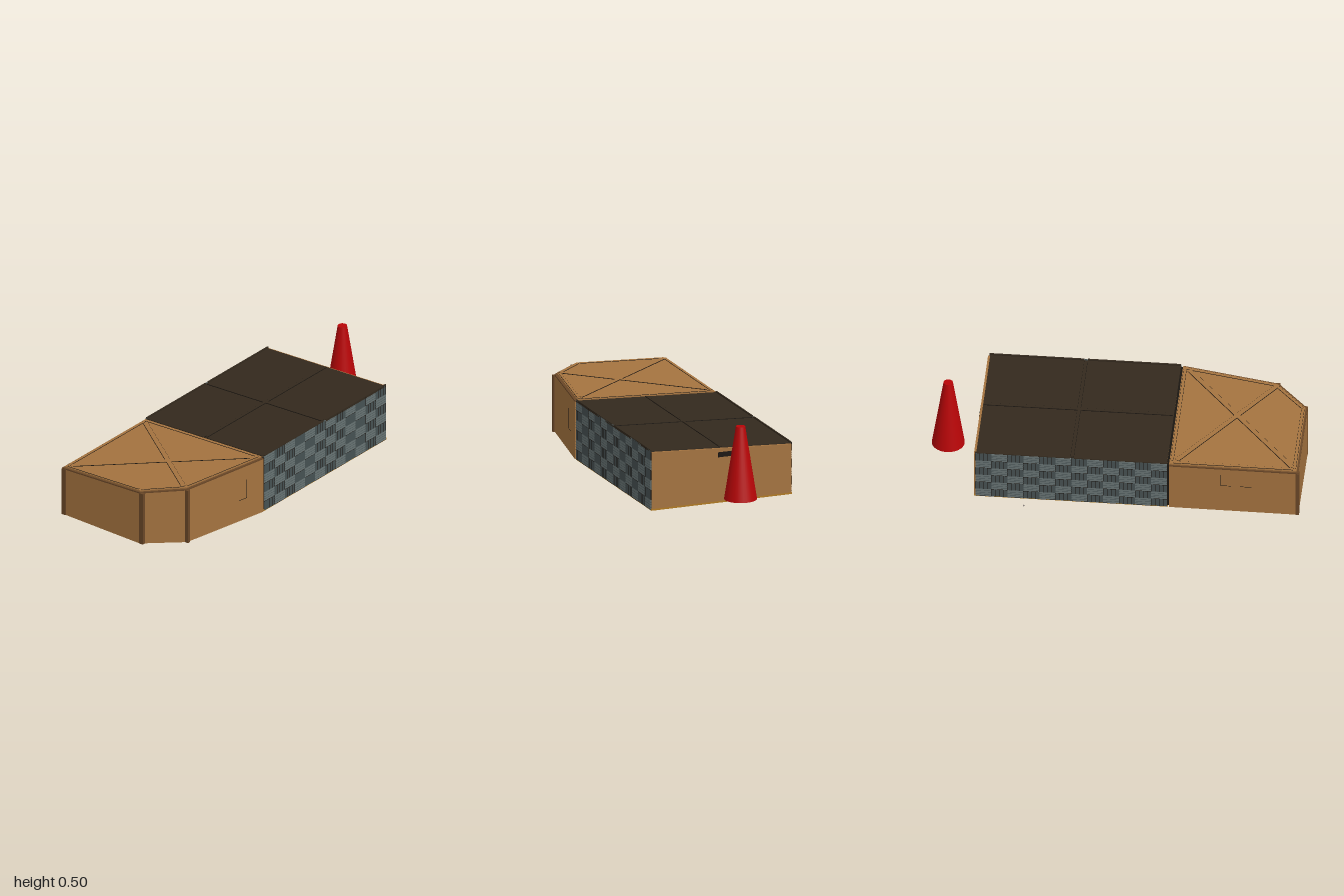
import * as THREE from 'three';
import { mergeGeometries } from 'three/addons/utils/BufferGeometryUtils.js';

const paint = (name, color) => {
  const m = new THREE.MeshStandardMaterial({ color });
  m.name = name;
  return m;
};

// The roof rises gently from the right side to the left side
const roofY = (x) => 0.32 + (x + 0.375) * 0.057;
const BASE = 0.036;

// Prism over a plan polygon [x, z], with bottom and top heights given as functions of x
function prismGeometry(points, low, high) {
  const shape = new THREE.Shape(points.map(([x, z]) => new THREE.Vector2(x, -z)));
  const g = new THREE.ExtrudeGeometry(shape, { depth: 1, bevelEnabled: false });
  g.rotateX(-Math.PI / 2);
  const p = g.attributes.position;
  for (let i = 0; i < p.count; i++) {
    p.setY(i, p.getY(i) > 0.5 ? high(p.getX(i)) : low(p.getX(i)));
  }
  g.computeVertexNormals();
  return g;
}

// Plan quad along a line from a to b, between two sideways offsets
function band(a, b, o0, o1) {
  const dx = b[0] - a[0], dz = b[1] - a[1], l = Math.hypot(dx, dz);
  const n = [-dz / l, dx / l];
  const at = (p, o) => [p[0] + n[0] * o, p[1] + n[1] * o];
  return [at(a, o0), at(b, o0), at(b, o1), at(a, o1)];
}
const mix = (a, b, t) => [a[0] + (b[0] - a[0]) * t, a[1] + (b[1] - a[1]) * t];

export function createModel() {
  const model = new THREE.Group();
  const brown = paint('cardboard brown', 0xa4733f);
  const darkBrown = paint('dark brown edge', 0x6a4727);
  const roofDark = paint('dark roof', 0x33291d);
  const black = paint('black seam', 0x1a1510);
  const tileLight = paint('light slate', 0x687474);
  const tileDark = paint('dark slate', 0x465152);
  const red = paint('red', 0xb80507);
  const floorBrown = paint('floor olive', 0xb07a22);
  const grey = paint('grey', 0x958b86);
  const yellow = paint('yellow', 0xd8981c);

  const add = (name, geometry, material, parent = model) => {
    const m = new THREE.Mesh(geometry, material);
    m.name = name;
    parent.add(m);
    return m;
  };
  const prism = (name, pts, low, high, mat) => {
    const fn = (v) => (typeof v === 'function' ? v : () => v);
    return add(name, prismGeometry(pts, fn(low), fn(high)), mat);
  };
  const rect = (x0, x1, z0, z1) => [[x0, z0], [x1, z0], [x1, z1], [x0, z1]];
  const roofPlus = (d) => (x) => roofY(x) + d;
  const roofStrip = (name, a, b, w, d, mat) =>
    prism(name, band(a, b, -w / 2, w / 2), roofPlus(-0.008), roofPlus(d), mat);
  // Raised strip with dark sides
  const batten = (name, a, b, w, d, mat) => {
    roofStrip(name + 'Sides', a, b, w + 0.003, d - 0.001, black);
    roofStrip(name, a, b, w, d, mat);
  };

  // Rear section: body, floor and dark roof
  prism('rearBody', rect(-0.372, 0.43, -0.742, 0.285), 0.045, roofPlus(-0.008), brown);
  prism('rearFloor', rect(-0.375, 0.433, -0.742, 0.29), BASE, 0.045, floorBrown);
  prism('rearRoof', rect(-0.375, 0.435, -0.73, 0.285), roofPlus(-0.009), roofPlus(-0.003), roofDark);
  batten('roofBattenLong', [0.03, -0.725], [0.03, 0.28], 0.016, 0.001, roofDark);
  batten('roofBattenCross', [-0.36, -0.22], [0.42, -0.22], 0.016, 0.001, roofDark);
  for (const x of [-0.371, 0.431]) {
    roofStrip('roofRail', [x, -0.735], [x, -0.23], 0.008, 0.004, roofDark);
    roofStrip('roofRail', [x, -0.21], [x, 0.285], 0.008, 0.004, roofDark);
  }
  prism('jointSeam', rect(-0.37, 0.43, 0.284, 0.297), 0.045, roofPlus(-0.01), black);
  prism('rearSlot', rect(-0.06, 0.05, -0.745, -0.74), 0.288, 0.315, black);
  for (const [x, z] of [[0.15, -0.06], [-0.06, 0.05]]) {
    for (const s of [-1, 1]) {
      prism('floorMark', rect(x - 0.035, x + 0.035, z + s * 0.022 - 0.0015, z + s * 0.022 + 0.0015),
        BASE - 0.001, 0.04, black);
      prism('floorMark', rect(x + s * 0.035 - 0.0015, x + s * 0.035 + 0.0015, z - 0.022, z + 0.022),
        BASE - 0.001, 0.04, black);
    }
  }

  // Basket-weave slate tiles on both sides of the rear section
  const cols = 12, rows = 6;
  for (const side of [-1, 1]) {
    const x = side > 0 ? 0.432 : -0.374;
    const y0 = 0.04, height = roofY(x) - y0, w = 1.02 / cols, h = height / rows;
    const sets = [[], [], []];
    const plate = (set, y, z, sy, sz, t) =>
      sets[set].push(new THREE.BoxGeometry(t, sy, sz).translate(x, y, z));
    for (let c = 0; c < cols; c++) {
      for (let r = 0; r < rows; r++) {
        const y = y0 + (r + 0.5) * h, z = -0.733 + (c + 0.5) * w;
        const odd = (c + r) % 2;
        plate(odd, y, z, h, w, 0.006);
        // Dark tiles carry upright grooves, light tiles level ones
        for (let k = 0; k < 4; k++) {
          if (odd) plate(2, y, z + (k / 4 - 0.5) * w, h, 0.0022, 0.0064);
          else plate(k ? 1 : 2, y + (k / 4 - 0.5) * h, z, 0.0022, w, 0.0064);
        }
      }
    }
    const names = ['lightTiles', 'darkTiles', 'tileGrooves'];
    [tileLight, tileDark, black].forEach((mat, i) => add(names[i], mergeGeometries(sets[i]), mat));
  }

  // Front section: open-bottomed shell with angled left corner
  const outline = [[0.435, 0.297], [0.335, 0.815], [0.15, 0.985], [-0.38, 0.985], [-0.376, 0.297]];
  const wallNames = ['leftWall', 'cornerWall', 'frontWall', 'rightWall'];
  wallNames.forEach((name, i) => {
    prism(name, band(outline[i], outline[i + 1], 0, 0.015), BASE, roofPlus(-0.014), brown);
  });

  // Dark roof edge with the roof sheet set in from it
  prism('roofEdge', outline, roofPlus(-0.014), roofPlus(-0.007), darkBrown);
  const roofPlan = [[0.422, 0.297], [0.323, 0.808], [0.143, 0.975], [-0.371, 0.975], [-0.369, 0.297]];
  prism('frontRoof', roofPlan, roofPlus(-0.008), roofY, brown);

  // Posts where the walls meet
  for (const [x, z] of [[0.333, 0.815], [0.158, 0.979], [-0.368, 0.982]]) {
    prism('cornerPost', rect(x - 0.0135, x + 0.0135, z - 0.012, z + 0.007), BASE, roofPlus(-0.012), darkBrown);
  }

  // Roof edge battens and crossed braces
  roofPlan.forEach((a, i) => {
    const [p, q] = band(a, roofPlan[(i + 1) % roofPlan.length], 0.013, 0.013);
    batten('roofBatten', mix(p, q, 0.03), mix(p, q, 0.97), 0.014, 0.003, brown);
  });
  batten('brace', [0.39, 0.335], [-0.345, 0.95], 0.024, 0.004, brown);
  batten('brace', [-0.34, 0.335], [0.3, 0.805], 0.024, 0.004, brown);

  // Thin outlined hatches on the walls
  const hatch = (i, t0, t1, y0, y1) => {
    const a = outline[i], b = outline[i + 1];
    const d = 0.001 / Math.hypot(b[0] - a[0], b[1] - a[1]);
    const line = (u0, u1, v0, v1) =>
      prism('hatchLine', band(mix(a, b, u0), mix(a, b, u1), -0.001, 0.004), v0, v1, black);
    line(t0 - d, t0 + d, y0, y1);
    line(t1 - d, t1 + d, y0, y1);
    line(t0, t1, y0 - 0.001, y0 + 0.001);
  };
  hatch(0, 0.22, 0.32, 0.16, 0.27);
  hatch(3, 0.35, 0.45, 0.2, 0.27);
  hatch(3, 0.52, 0.6, 0.2, 0.27);

  // Underside of the front section: loose floor panel and fittings inside
  prism('frontFloorPanel', [[0.11, 0.76], [-0.03, 0.9], [-0.25, 0.65], [-0.2, 0.31], [-0.03, 0.44]],
    BASE, 0.047, floorBrown);
  prism('innerPlate', [[0.33, 0.77], [0.04, 0.68], [0.05, 0.42], [0.34, 0.475]], 0.06, 0.07, grey);
  for (let i = 0; i < 5; i++) {
    const x = -0.32 + i * 0.085;
    prism('innerBlock', rect(x, x + 0.05, 0.3, 0.38), 0.06, 0.15, grey);
  }
  for (const [x, z] of [[0.3, 0.79], [0.375, 0.42]]) {
    prism('yellowFitting', rect(x - 0.022, x + 0.022, z - 0.02, z + 0.02), 0.042, 0.07, yellow);
  }

  // Hanging wire and a small loose stud
  const wirePath = new THREE.CatmullRomCurve3([[-0.065, 0.04, 0.5], [-0.053, 0.018, 0.5],
    [-0.043, 0.004, 0.5], [-0.033, 0.0005, 0.5]].map((p) => new THREE.Vector3(...p)));
  add('wire', new THREE.TubeGeometry(wirePath, 10, 0.0005, 5), grey);
  add('stud', new THREE.OctahedronGeometry(0.006), grey).position.set(-0.435, 0.035, -0.47);

  // Cone behind the body
  const cone = new THREE.Group();
  cone.name = 'cone';
  cone.position.set(-0.007, 0.3, -0.9125);
  model.add(cone);
  add('coneBody', new THREE.CylinderGeometry(0.025, 0.0875, 0.4, 32), red, cone);
  add('coneBase', new THREE.CircleGeometry(0.086, 32).rotateX(Math.PI / 2), black, cone)
    .position.y = -0.201;
  return model;
}
